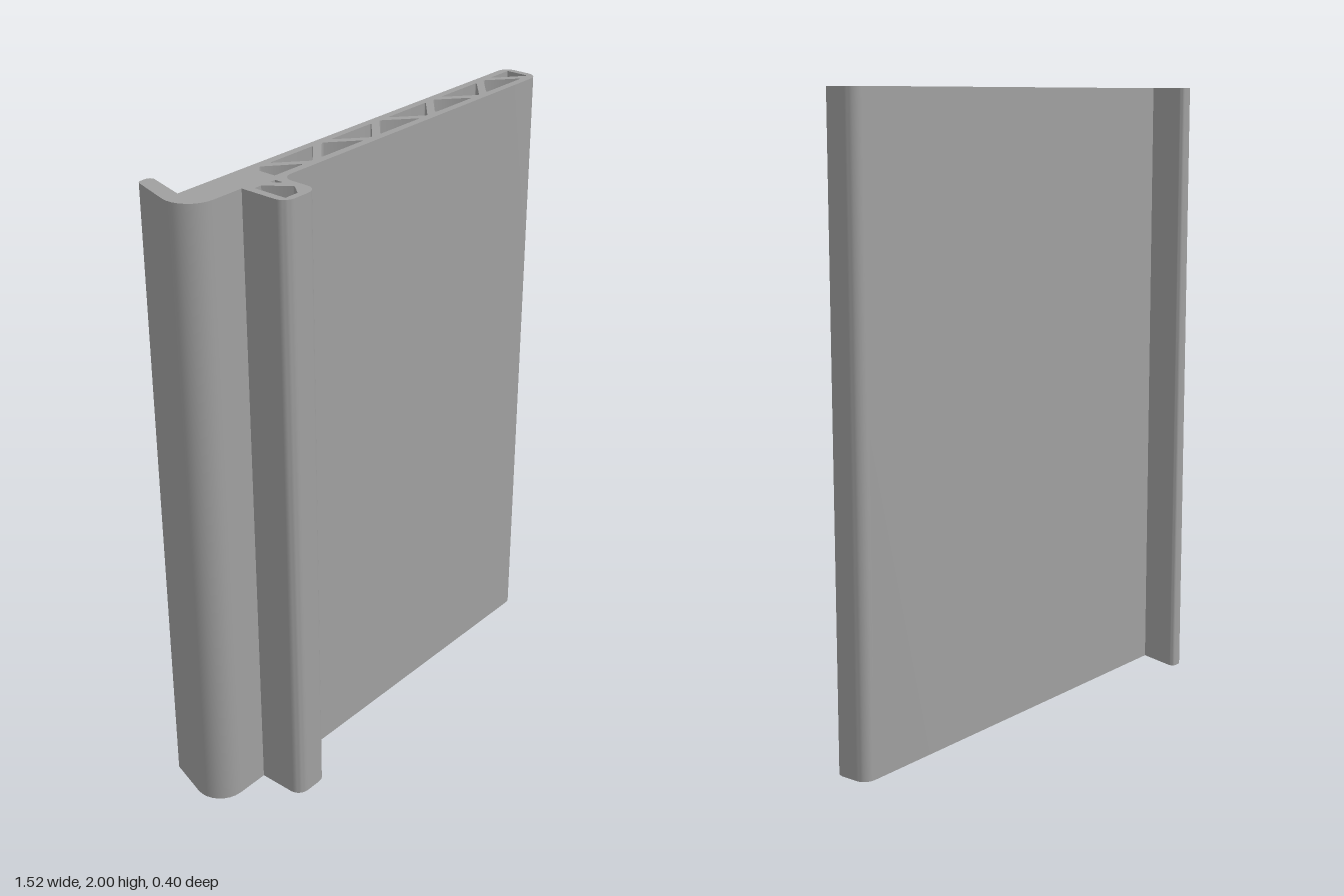
import * as THREE from 'three';
import { toCreasedNormals } from 'three/addons/utils/BufferGeometryUtils.js';

const HEIGHT = 2;

// Closed outline from [x, z, cornerRadius] points; shape y is -z
function roundedOutline(points, target) {
  const n = points.length;
  const P = points.map(([x, z]) => new THREE.Vector2(x, -z));
  points.forEach(([, , r = 0], i) => {
    const p = P[i];
    const a = P[(i + n - 1) % n].clone().sub(p).normalize();
    const b = P[(i + 1) % n].clone().sub(p).normalize();
    const angle = Math.acos(THREE.MathUtils.clamp(a.dot(b), -1, 1));
    const cut = r / Math.tan(angle / 2);
    const handle = cut - (4 / 3) * Math.tan((Math.PI - angle) / 4) * r;
    const at = (dir, d) => p.clone().addScaledVector(dir, d);
    const start = at(a, cut), end = at(b, cut);
    if (i === 0) target.moveTo(start.x, start.y);
    else target.lineTo(start.x, start.y);
    if (r > 0) {
      const h1 = at(a, handle), h2 = at(b, handle);
      target.bezierCurveTo(h1.x, h1.y, h2.x, h2.y, end.x, end.y);
    }
  });
  target.closePath();
  return target;
}

export function createModel() {
  const group = new THREE.Group();
  group.name = 'extrudedPanel';
  const grey = new THREE.MeshStandardMaterial({ color: 0xa0a0a0 });
  grey.name = 'grey';

  // Outer section: hooked lip, panel with rounded end, hollow foot
  const section = roundedOutline([
    [-0.709, -0.061],
    [-0.667, -0.205, 0.016],
    [-0.717, -0.205, 0.016],
    [-0.796, 0.043, 0.084],
    [-0.574, 0.043],
    [-0.574, 0.199, 0.038],
    [-0.445, 0.199, 0.038],
    [-0.445, 0.067, 0.038],
    [0.758, 0.067, 0.038],
    [0.758, -0.061, 0.038],
  ], new THREE.Shape());

  const cutHole = (pts) => section.holes.push(roundedOutline(pts, new THREE.Path()));

  // Truss chambers inside the panel
  const top = -0.036, bottom = 0.043, pitch = 0.2565;
  cutHole([[-0.445, bottom], [-0.445, -0.014], [-0.42, top, 0.006],
    [-0.325, bottom, 0.004]]);
  for (let i = 0; i < 4; i++) {
    const down = -0.291 + i * pitch, up = down + pitch / 2;
    cutHole([[down - 0.092, top, 0.003], [down + 0.092, top, 0.003], [down, bottom, 0.008]]);
    cutHole([[up - 0.092, bottom, 0.003], [up, top, 0.008], [up + 0.092, bottom, 0.003]]);
  }
  cutHole([[0.64, top, 0.003], [0.737, top], [0.737, bottom, 0.004]]);

  // Chambers inside the foot
  cutHole([[-0.55, 0.067], [-0.524, 0.067], [-0.471, 0.139, 0.004],
    [-0.502, 0.178], [-0.55, 0.178]]);
  cutHole([[-0.492, 0.067], [-0.469, 0.067], [-0.469, 0.098, 0.003]]);

  const geometry = new THREE.ExtrudeGeometry(section, {
    depth: HEIGHT, bevelEnabled: false, curveSegments: 8,
  });
  geometry.rotateX(-Math.PI / 2);

  const panel = new THREE.Mesh(toCreasedNormals(geometry, 0.5), grey);
  panel.name = 'trussPanel';
  group.add(panel);
  return group;
}
